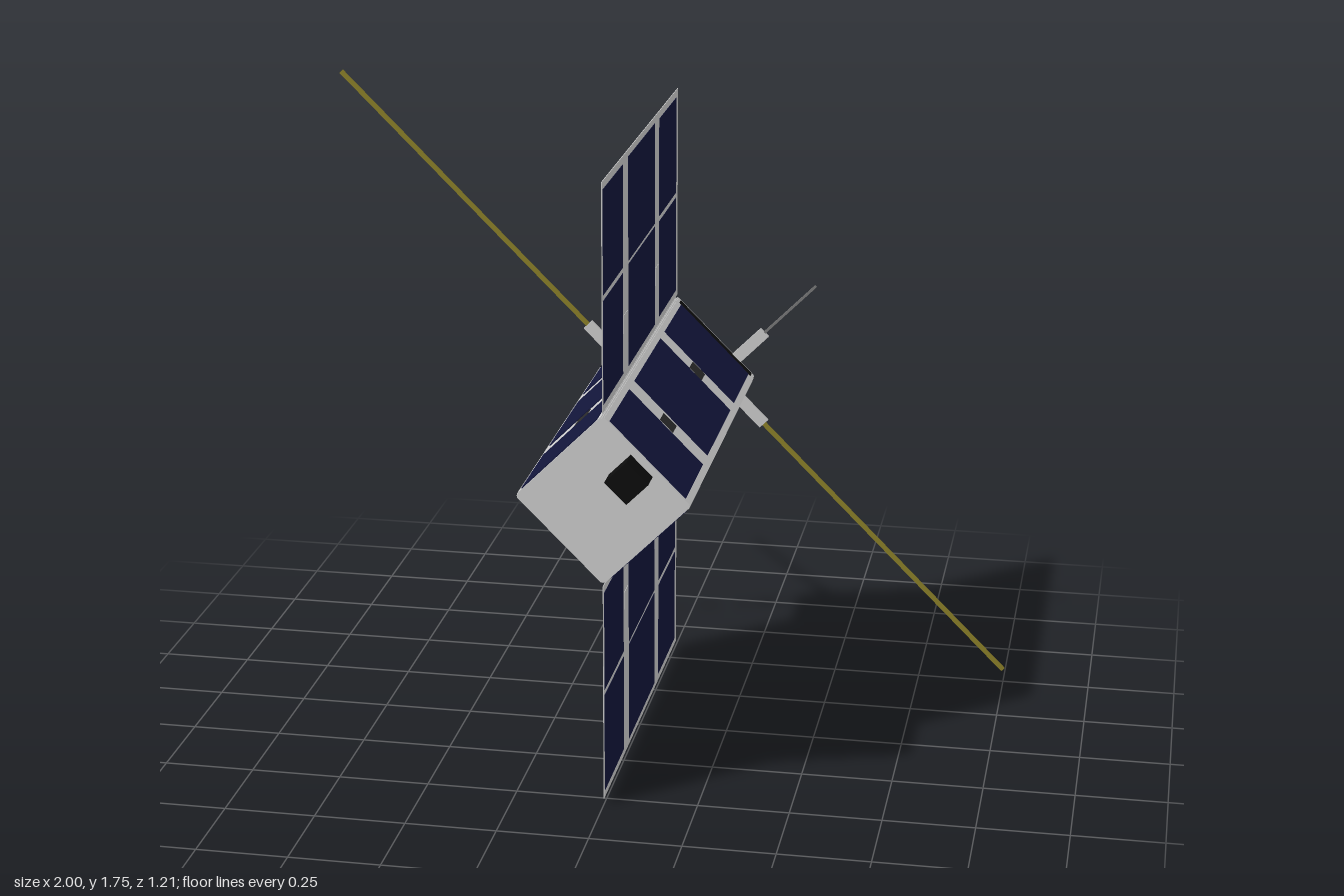
import * as THREE from 'three';

const mat = (color, extra = {}) =>
  new THREE.MeshStandardMaterial({ color, roughness: 0.8, flatShading: true, ...extra });
const GREY = mat(0xcccccc), CELL = mat(0x12153a), BLACK = mat(0x0c0c0c),
  SLOT = mat(0x2a2a2a), PALE = mat(0xf2f2f2), TAPE = mat(0x8a7f28), STUB = mat(0xcccccc), WHIP = mat(0x777777);

const CENTRE_Y = 0.873, HALF = 0.163;
// columns of cells along the body: [centre z, length]
const COLUMNS = [[0.395, 0.27], [-0.017, 0.395], [-0.422, 0.275]];
const GAPS = [0.222, -0.25];

function box(parent, name, material, size, pos) {
  const m = new THREE.Mesh(new THREE.BoxGeometry(...size), material);
  m.name = name;
  m.position.set(...pos);
  parent.add(m);
  return m;
}

// One long side of the body, facing local +x
function bodySide(k) {
  const side = new THREE.Group();
  side.name = 'bodySide';
  side.rotation.z = k * Math.PI / 2;
  box(side, 'sidePanel', GREY, [0.004, 0.318, 1.135], [HALF + 0.001, 0, -0.0275]);
  for (const [z, len] of COLUMNS)
    box(side, 'bodyCell', CELL, [0.005, 0.284, len], [HALF + 0.003, 0, z]);
  for (const z of GAPS)
    box(side, 'slot', SLOT, [0.005, 0.05, 0.055], [HALF + 0.002, 0, z]);
  box(side, 'antennaGroove', BLACK, [0.005, 0.3, 0.02], [HALF + 0.003, 0, -0.574]);

  // Deployed antenna: long tapes on odd sides, short whips on even sides
  const long = k % 2 === 1;
  const v = long ? 0.089 : -0.086;
  const tip = long ? 1.317 : 0.494;
  const z = long ? -0.579 : -0.585;
  box(side, 'antennaMount', STUB, [0.125, 0.034, 0.01], [0.222, v, z]);
  box(side, long ? 'tapeAntenna' : 'whipAntenna', long ? TAPE : WHIP,
    [tip - 0.26, long ? 0.013 : 0.007, 0.007], [(tip + 0.26) / 2, v, z]);
  return side;
}

// Flat deployed wing; sign +1 goes up, -1 goes down
function wing(sign) {
  const g = new THREE.Group();
  g.name = sign > 0 ? 'upperWing' : 'lowerWing';
  const mid = sign * 0.548;
  box(g, 'wingPanel', GREY, [0.002, 0.615, 1.13], [0, mid, -0.026]);
  for (const row of [-1, 1])
    COLUMNS.forEach(([z, len], i) =>
      box(g, 'wingCell', CELL, [0.004, i === 1 ? 0.285 : 0.279, len], [0, mid + row * 0.147, z]));
  for (const z of GAPS)
    box(g, 'wingPatch', PALE, [0.004, 0.05, 0.055], [0, sign * 0.395, z]);
  g.position.y = CENTRE_Y;
  return g;
}

// Rear cell with its two outer corners cut off
function rearCell(sign) {
  const w = 0.128, h = 0.14, c = 0.035;
  const s = new THREE.Shape();
  s.moveTo(0, -h);
  s.lineTo(w - c, -h);
  s.lineTo(w, -h + c);
  s.lineTo(w, h - c);
  s.lineTo(w - c, h);
  s.lineTo(0, h);
  const m = new THREE.Mesh(new THREE.ExtrudeGeometry(s, { depth: 0.004, bevelEnabled: false }), CELL);
  m.name = 'rearCell';
  m.rotation.z = sign > 0 ? 0 : Math.PI;
  m.position.set(sign * 0.008, 0, -0.602);
  return m;
}

export function createModel() {
  const model = new THREE.Group();
  model.name = 'satellite';

  // Square body standing on its edge
  const body = new THREE.Group();
  body.name = 'body';
  body.position.y = CENTRE_Y;
  body.rotation.z = Math.PI / 4;
  box(body, 'bodyCore', GREY, [2 * HALF, 2 * HALF, 1.14], [0, 0, -0.03]);
  for (let k = 0; k < 4; k++) body.add(bodySide(k));
  body.add(rearCell(1), rearCell(-1));
  box(body, 'camera', BLACK, [0.082, 0.082, 0.068], [0.106, 0, 0.571]);
  model.add(body);

  model.add(wing(1), wing(-1));
  return model;
}
